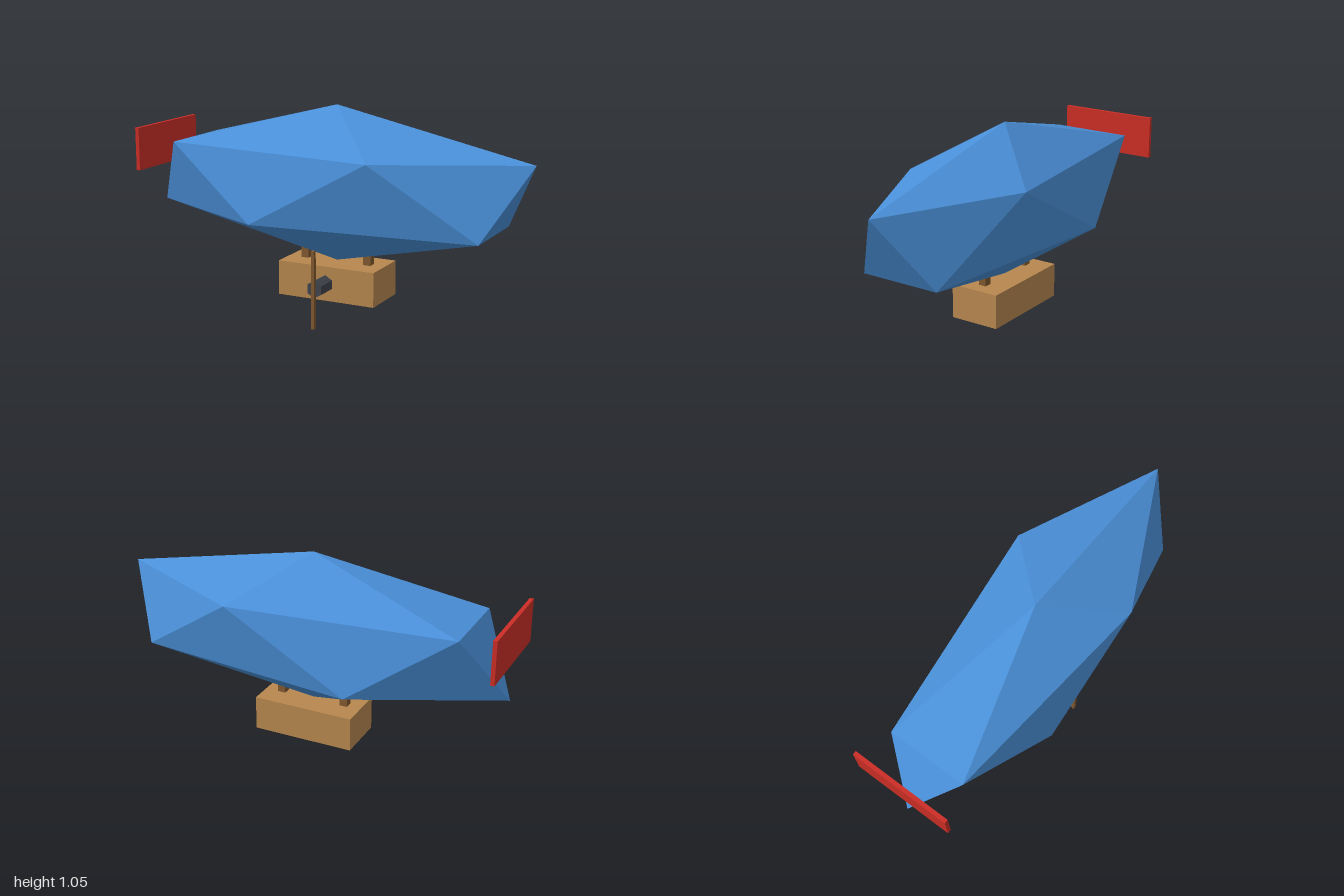
import * as THREE from 'three';

function material(name, color) {
  const m = new THREE.MeshStandardMaterial({ color });
  m.name = name;
  return m;
}

// Stretched icosahedron: a cap point, two staggered rings of five, a bottom point
function hullGeometry(rx, ry, rz, cy) {
  const ring = (k, offset, y) => {
    const a = ((k + offset) * Math.PI * 2) / 5;
    return [Math.cos(a) * rx, cy + y, Math.sin(a) * rz];
  };
  const h = ry * 0.447;
  const top = [0, cy + ry, 0];
  const bottom = [0, cy - ry, 0];
  const points = [];
  for (let k = 0; k < 5; k++) {
    const u0 = ring(k, 0, h), u1 = ring(k + 1, 0, h);
    const l0 = ring(k, 0.5, -h), l1 = ring(k + 1, 0.5, -h);
    points.push(top, u1, u0, u0, u1, l0, l0, u1, l1, bottom, l0, l1);
  }
  const g = new THREE.BufferGeometry();
  g.setAttribute('position', new THREE.Float32BufferAttribute(points.flat(), 3));
  g.computeVertexNormals();
  return g;
}

export function createModel() {
  const model = new THREE.Group();
  model.name = 'airship';

  const blue = material('hull blue', 0x4a90d9);
  const red = material('fin red', 0xcc2e26);
  const tan = material('gondola tan', 0xb8884f);
  const brown = material('wood brown', 0x80592f);
  const grey = material('engine grey', 0x40444c);
  blue.flatShading = grey.flatShading = true;

  const add = (name, geometry, mat, x, y, z) => {
    const mesh = new THREE.Mesh(geometry, mat);
    mesh.name = name;
    mesh.position.set(x, y, z);
    model.add(mesh);
    return mesh;
  };
  const box = (name, w, h, d, mat, x, y, z) =>
    add(name, new THREE.BoxGeometry(w, h, d), mat, x, y, z);

  // Gas envelope and tail panel
  add('envelope', hullGeometry(1, 0.385, 0.347, 0.67), blue, 0, 0, 0);
  box('tailFin', 0.02, 0.215, 0.515, red, -0.99, 0.798, 0);

  // Gondola hung on two struts
  box('gondola', 0.516, 0.172, 0.256, tan, 0, 0.195, 0);
  for (const side of [-1, 1]) {
    box(side < 0 ? 'rightStrut' : 'leftStrut', 0.04, 0.06, 0.04, brown, side * 0.17, 0.303, 0);
  }

  // Hexagonal engine and its propeller blade
  const engine = add('engine', new THREE.CylinderGeometry(0.043, 0.043, 0.12, 6), grey, 0, 0.195, 0.182);
  engine.rotation.x = Math.PI / 2;
  box('propeller', 0.016, 0.386, 0.02, brown, 0, 0.194, 0.25);

  return model;
}
